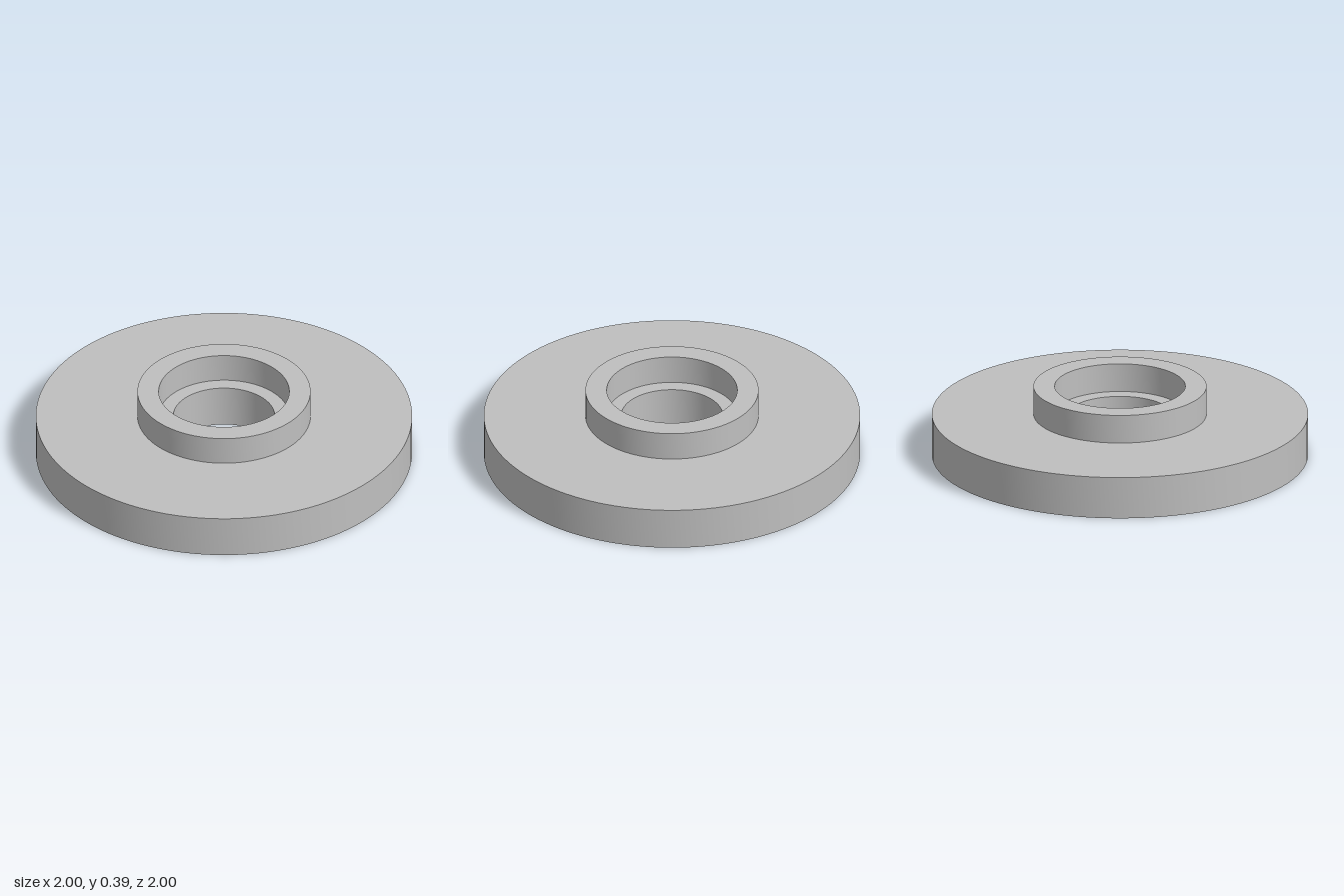
import * as THREE from 'three';
import { toCreasedNormals } from 'three/addons/utils/BufferGeometryUtils.js';

const FLANGE_RADIUS = 1;
const HUB_RADIUS = 0.46;
const BORE_RADIUS = 0.347;
const HOLE_RADIUS = 0.27;
const FLANGE_TOP = 0.23;
const HUB_TOP = 0.386;

// Revolves a profile of [radius, height] pairs, keeping its corners sharp
function turnedPart(name, profile, material) {
  const points = profile.map(([r, y]) => new THREE.Vector2(r, y));
  const geometry = toCreasedNormals(new THREE.LatheGeometry(points, 128), Math.PI / 6);
  const mesh = new THREE.Mesh(geometry, material);
  mesh.name = name;
  return mesh;
}

export function createModel() {
  const steel = new THREE.MeshStandardMaterial({ color: 0xbfbfbf });
  steel.name = 'grey steel';

  const group = new THREE.Group();
  group.name = 'flangedHub';

  // Wide disc with the through hole; its top also forms the ledge inside the hub
  group.add(turnedPart('flange', [
    [HOLE_RADIUS, 0],
    [FLANGE_RADIUS, 0],
    [FLANGE_RADIUS, FLANGE_TOP],
    [HOLE_RADIUS, FLANGE_TOP],
    [HOLE_RADIUS, 0],
  ], steel));

  // Raised collar with the wider bore, open where it meets the flange
  group.add(turnedPart('hub', [
    [HUB_RADIUS, FLANGE_TOP],
    [HUB_RADIUS, HUB_TOP],
    [BORE_RADIUS, HUB_TOP],
    [BORE_RADIUS, FLANGE_TOP],
  ], steel));

  return group;
}
